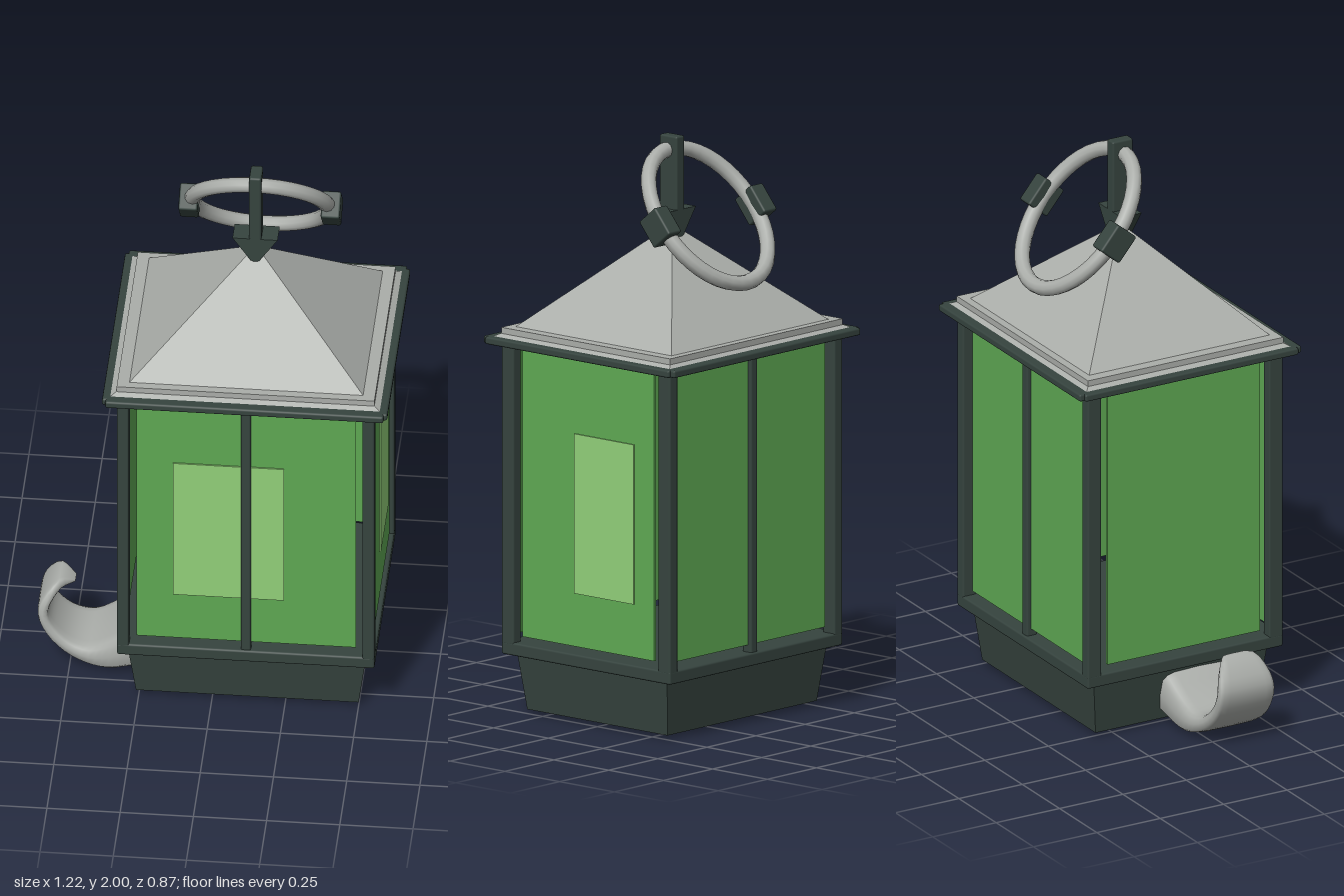
import * as THREE from 'three';
import { RoundedBoxGeometry } from 'three/addons/geometries/RoundedBoxGeometry.js';

const mat = (name, color) => {
  const m = new THREE.MeshStandardMaterial({ color });
  m.name = name;
  return m;
};

export function createModel() {
  const dark = mat('dark iron', 0x36443f);
  const gray = mat('gray metal', 0xabaeaa);
  const glass = mat('green glass', 0x5fa953);
  const glow = mat('light green glow', 0x92d079);

  const root = new THREE.Group();
  root.name = 'lantern';
  const body = new THREE.Group();
  body.name = 'lanternBody';
  body.position.x = 0.12;
  root.add(body);

  const add = (name, geo, material, x = 0, y = 0, z = 0, parent = body) => {
    const m = new THREE.Mesh(geo, material);
    m.name = name;
    m.position.set(x, y, z);
    parent.add(m);
  };
  const box = (name, w, h, d, material, x, y, z) =>
    add(name, new THREE.BoxGeometry(w, h, d), material, x, y, z);
  const bar = (name, w, h, d, x, y, z, parent) =>
    add(name, new RoundedBoxGeometry(w, h, d, 1, 0.007), dark, x, y, z, parent);

  // Four-sided frustum: half sizes at its bottom, k scales the top
  const frustum = (name, bx, bz, k, y0, y1, material) => {
    const s = Math.SQRT2, h = y1 - y0;
    const g = (k === 0 ? new THREE.ConeGeometry(s, h, 4, 1) : new THREE.CylinderGeometry(k * s, s, h, 4, 1))
      .rotateY(Math.PI / 4).scale(bx, 1, bz).toNonIndexed();
    g.computeVertexNormals();
    add(name, g, material, 0, (y0 + y1) / 2, 0);
  };

  // Base and lower rim
  frustum('base', 0.38, 0.32, 1.07, 0.017, 0.215, dark);
  bar('lowerRim', 0.88, 0.045, 0.77, 0, 0.2325, 0);

  // Corner posts
  for (const sx of [-1, 1]) for (const sz of [-1, 1])
    bar('cornerPost', 0.042, 1.06, 0.055, sx * 0.419, 0.775, sz * 0.3575);

  for (const s of [-1, 1]) {
    // Central bars and glass panes on front and back
    bar('centerBar', 0.035, 1.06, 0.04, 0, 0.775, s * 0.357);
    box('glassPane', 0.75, 1.01, 0.01, glass, 0, 0.785, s * 0.357);
    // Side panes
    box('sideGlassPane', 0.01, 1.01, 0.6, glass, s * 0.422, 0.785, 0);
    // Upper rim
    bar('upperRimLong', 0.95, 0.026, 0.1, 0, 1.302, s * 0.387);
    bar('upperRimShort', 0.1, 0.026, 0.84, s * 0.437, 1.302, 0);
  }

  // Off-centre glowing panels on the front and one side
  box('frontGlow', 0.38, 0.555, 0.006, glow, -0.06, 0.7425, 0.364);
  box('sideGlow', 0.006, 0.555, 0.27, glow, 0.429, 0.7425, -0.076);

  // Roof
  frustum('roofSkirt', 0.468, 0.409, 0.945, 1.311, 1.324, gray);
  box('roofSlab', 0.88, 0.055, 0.77, gray, 0, 1.3175, 0);
  frustum('roofPyramid', 0.4, 0.357, 0, 1.344, 1.69, gray);

  // Arrow-shaped finial
  bar('finialBar', 0.042, 0.27, 0.08, 0, 1.865, 0);
  const arrow = new THREE.Shape([[-0.077, 1.745], [-0.015, 1.655], [0, 1.648], [0.015, 1.655], [0.077, 1.745]]
    .map(([x, y]) => new THREE.Vector2(x, y)));
  add('finialArrow', new THREE.ExtrudeGeometry(arrow, { depth: 0.08, bevelEnabled: false }),
    dark, 0, 0, -0.04);

  // Tilted carrying ring with two clamps
  const ring = new THREE.Group();
  ring.name = 'carryingRing';
  ring.position.set(0, 1.742, -0.165);
  ring.rotation.x = Math.atan2(0.64, 0.77);
  body.add(ring);
  class Oval extends THREE.Curve {
    getPoint(t, out = new THREE.Vector3()) {
      const a = t * Math.PI * 2;
      return out.set(Math.cos(a) * 0.234, Math.sin(a) * 0.271, 0);
    }
  }
  add('ring', new THREE.TubeGeometry(new Oval(), 40, 0.027, 10, true), gray, 0, 0, 0, ring);
  for (const s of [-1, 1]) bar('ringClamp', 0.065, 0.108, 0.095, s * 0.243, 0, 0, ring);

  // Curled side hook: stations of outer x,y, inner x,y and half width
  const stations = [
    [-0.2, 0.03, -0.2, 0.2, 0.15],
    [-0.27, 0.025, -0.27, 0.197, 0.15],
    [-0.37, 0.002, -0.355, 0.135, 0.139],
    [-0.44, 0.018, -0.43, 0.096, 0.13],
    [-0.52, 0.06, -0.495, 0.108, 0.12],
    [-0.585, 0.13, -0.55, 0.156, 0.112],
    [-0.612, 0.205, -0.573, 0.205, 0.109],
    [-0.598, 0.262, -0.56, 0.252, 0.098],
    [-0.54, 0.325, -0.53, 0.29, 0.065],
    [-0.487, 0.302, -0.49, 0.292, 0.02],
  ];
  const outer = new THREE.CatmullRomCurve3(stations.map(([x, y, , , w]) => new THREE.Vector3(x, y, w)));
  const inner = new THREE.CatmullRomCurve3(stations.map(([, , x, y, w]) => new THREE.Vector3(x, y, w)));
  const sides = 16, steps = 27, pos = [], idx = [];
  const square = (v) => Math.sign(v) * Math.abs(v) ** 0.45;
  for (let i = 0; i <= steps; i++) {
    const o = outer.getPoint(i / steps), n = inner.getPoint(i / steps);
    for (let j = 0; j < sides; j++) {
      const a = (j / sides) * Math.PI * 2;
      const p = o.clone().lerp(n, (1 + square(Math.sin(a))) / 2);
      pos.push(p.x, p.y, 0.077 + square(Math.cos(a)) * o.z);
      if (i === 0) continue;
      const k = (j + 1) % sides, b = (i - 1) * sides, q = i * sides;
      idx.push(b + j, b + k, q + j, b + k, q + k, q + j);
    }
  }
  // Close the tip
  const last = steps * sides;
  for (let j = 1; j < sides - 1; j++) idx.push(last, last + j, last + j + 1);
  const hook = new THREE.BufferGeometry();
  hook.setAttribute('position', new THREE.Float32BufferAttribute(pos, 3));
  hook.setIndex(idx);
  hook.computeVertexNormals();
  add('sideHook', hook, gray, 0, 0, 0, root);

  return root;
}
